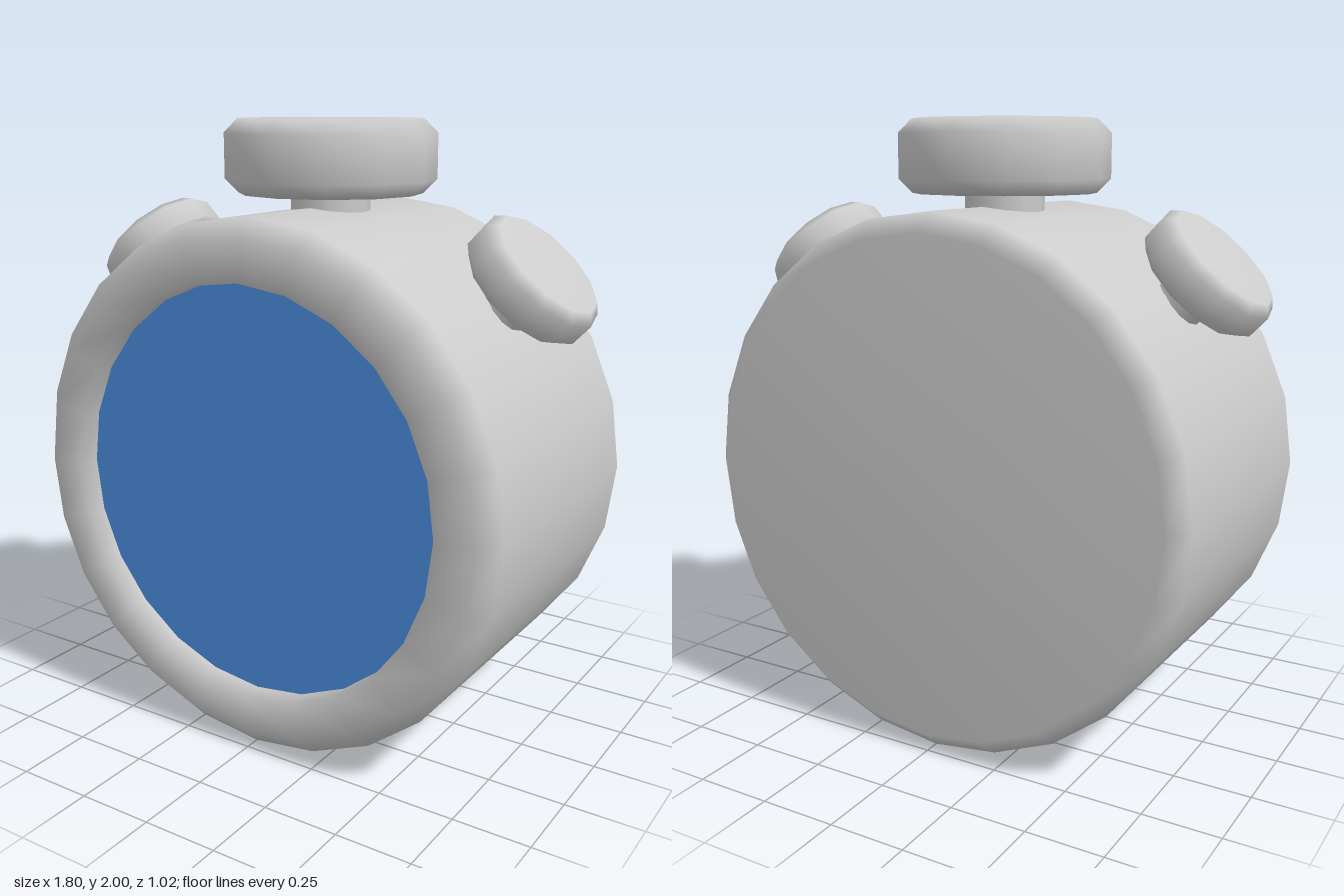
import * as THREE from 'three';

const grey = new THREE.MeshStandardMaterial({ color: 0xcccccc });
const blue = new THREE.MeshStandardMaterial({ color: 0x4a90e2 });

// Smooth turned part from [radius, height] pairs, bottom to top
function turned(name, profile, sides) {
  const points = profile.map(([r, y]) => new THREE.Vector2(r, y));
  const mesh = new THREE.Mesh(new THREE.LatheGeometry(points, sides), grey);
  mesh.name = name;
  return mesh;
}

// Push button: bevelled cap centred on the origin, with a stem below it
function button(name, radius, height, bevel, stemRadius, stemLength) {
  const group = new THREE.Group();
  group.name = name;
  const h = height / 2;
  const cap = turned(name + 'Cap', [
    [0, -h], [radius - bevel, -h], [radius, -h + bevel],
    [radius, h - bevel], [radius - bevel, h], [0, h],
  ], 12);
  const stem = new THREE.Mesh(
    new THREE.CylinderGeometry(stemRadius, stemRadius, stemLength, 12, 1, true), grey);
  stem.name = name + 'Stem';
  stem.position.y = -h - stemLength / 2 + 0.01;
  group.add(cap, stem);
  return group;
}

export function createModel() {
  const model = new THREE.Group();
  model.name = 'stopwatch';
  const centreY = 0.865;

  // Drum-shaped case with bevelled edges and a recessed front
  const body = turned('case', [
    [0, -0.51], [0.8, -0.51], [0.86, -0.45],
    [0.86, 0.45], [0.8, 0.51], [0.67, 0.51], [0.67, 0.43],
  ], 24);
  body.geometry.rotateX(Math.PI / 2);
  body.position.y = centreY;
  model.add(body);

  // Blue dial set inside the rim
  const dial = new THREE.Mesh(new THREE.CircleGeometry(0.67, 24), blue);
  dial.name = 'dial';
  dial.position.set(0, centreY, 0.44);
  model.add(dial);

  // Large crown on top
  const crown = button('crown', 0.345, 0.235, 0.045, 0.13, 0.14);
  crown.position.set(-0.005, 1.8825, -0.01);
  model.add(crown);

  // Two smaller tilted side buttons
  for (const side of [1, -1]) {
    const push = button(side > 0 ? 'leftButton' : 'rightButton', 0.222, 0.137, 0.03, 0.085, 0.2);
    push.position.set(side * 0.714, 1.54, -0.007);
    push.rotation.z = -side * THREE.MathUtils.degToRad(44);
    model.add(push);
  }
  return model;
}
